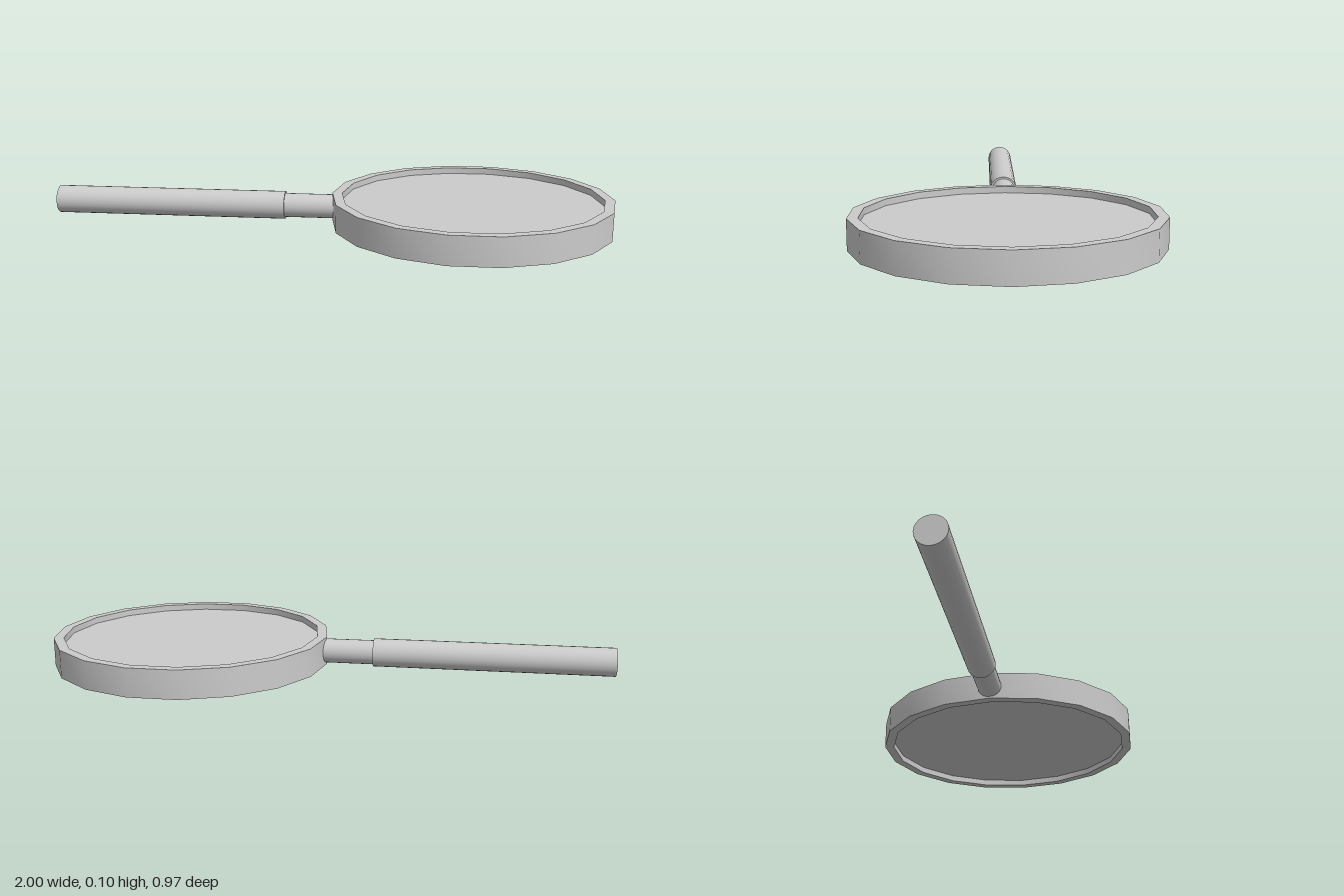
import * as THREE from 'three';
import { toCreasedNormals } from 'three/addons/utils/BufferGeometryUtils.js';

const SIDES = 18, CENTER_X = 0.505, MID_Y = 0.05;
const OUTER = 0.495, INNER = 0.46, HEIGHT = 0.1;

export function createModel() {
  const group = new THREE.Group();
  const material = new THREE.MeshStandardMaterial({ color: 0xcccccc });

  const add = (name, geometry, x, y) => {
    const mesh = new THREE.Mesh(geometry, material);
    mesh.name = name;
    mesh.position.set(x, y, 0);
    group.add(mesh);
  };

  // Rod lying along x from x0 to x1
  const addRod = (name, radius, x0, x1) => {
    const geometry = new THREE.CylinderGeometry(radius, radius, x1 - x0, 24);
    geometry.rotateZ(-Math.PI / 2);
    add(name, geometry, (x0 + x1) / 2, MID_Y);
  };

  // Rim: rectangular section swept round, with a corner pointing at the handle
  const section = [
    [INNER, 0], [OUTER, 0], [OUTER, HEIGHT], [INNER, HEIGHT], [INNER, 0],
  ].map(([r, y]) => new THREE.Vector2(r, y));
  const rim = new THREE.LatheGeometry(section, SIDES, Math.PI / 2);
  add('rim', toCreasedNormals(rim, Math.PI / 6), CENTER_X, 0);

  // Lens: recessed slightly from both faces of the rim
  const lens = new THREE.CylinderGeometry(INNER, INNER, 0.055, SIDES, 1, false, Math.PI / 2);
  add('lens', lens, CENTER_X, MID_Y);

  // Handle grip and the thinner neck that joins it to the rim
  addRod('handle', 0.05, -1, -0.16);
  addRod('neck', 0.043, -0.17, 0.025);

  return group;
}
